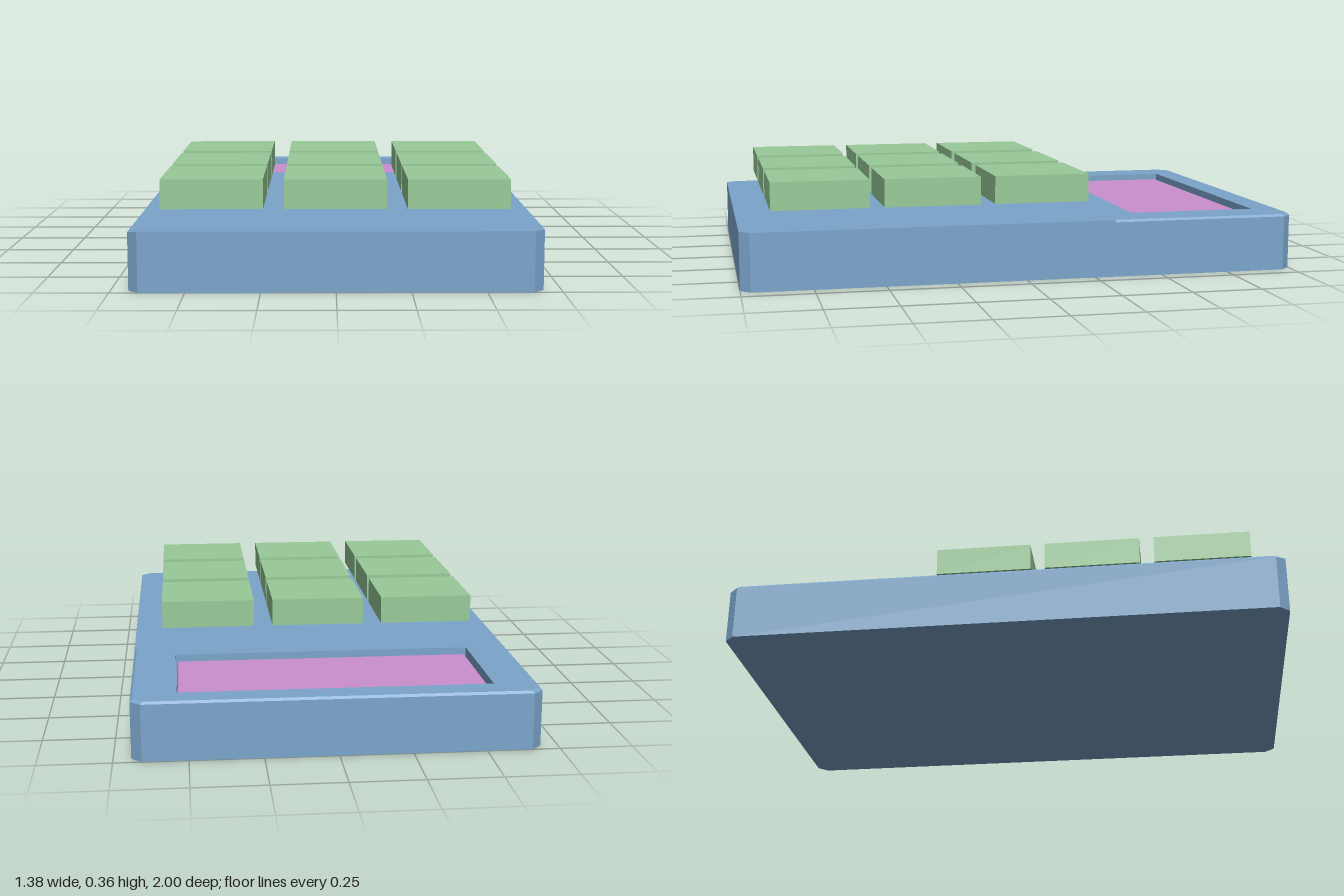
import * as THREE from 'three';
import { mergeGeometries } from 'three/addons/utils/BufferGeometryUtils.js';
import { RoundedBoxGeometry } from 'three/addons/geometries/RoundedBoxGeometry.js';

const HEIGHT = 0.205, BEVEL = 0.008;
const RECESS_FLOOR = 0.14;

const material = (color) => new THREE.MeshStandardMaterial({ color });

function addMesh(parent, geometry, mat, name) {
  const mesh = new THREE.Mesh(geometry, mat);
  mesh.name = name;
  parent.add(mesh);
  return mesh;
}

// Flat wall between two closed rings of [x, y, z]; counter-clockwise seen from above faces outwards
function band(lower, upper) {
  const position = [];
  lower.forEach((a, i) => {
    const j = (i + 1) % lower.length;
    position.push(...a, ...lower[j], ...upper[j], ...a, ...upper[j], ...upper[i]);
  });
  const geometry = new THREE.BufferGeometry();
  geometry.setAttribute('position', new THREE.Float32BufferAttribute(position, 3));
  geometry.computeVertexNormals();
  return geometry;
}

// Horizontal face filling a ring, with an optional hole
function cap(ring, y, up, hole) {
  const flat = (r) => r.map(([x, , z]) => new THREE.Vector2(x, -z));
  const shape = new THREE.Shape(flat(ring));
  if (hole) shape.holes.push(new THREE.Path(flat(hole)));
  let geometry = new THREE.ShapeGeometry(shape).rotateX(-Math.PI / 2);
  if (!up) geometry.rotateX(Math.PI).scale(1, 1, 1);
  geometry = geometry.translate(0, y, 0).toNonIndexed();
  geometry.deleteAttribute('uv');
  return geometry;
}

// Case with cut corners, a fine top bevel and a recess for the screen
function caseGeometry() {
  const outline = [ // x, z, bevel
    [0.655, 1, 0], [0.69, 0.965, 0], [0.69, -0.315, 0], [0.69, -0.325, BEVEL],
    [0.69, -0.965, BEVEL], [0.655, -1, BEVEL], [-0.655, -1, BEVEL],
    [-0.69, -0.965, BEVEL], [-0.69, 0.965, BEVEL], [-0.655, 1, 0],
  ];
  const bottom = outline.map(([x, z]) => [x, 0, z]);
  const shoulder = outline.map(([x, z, b]) => [x, HEIGHT - b, z]);
  const top = outline.map(([x, z, b]) => [
    x - Math.sign(x) * b, HEIGHT, Math.abs(z) > 0.9 ? z - Math.sign(z) * b : z,
  ]);
  // Clockwise, so the recess walls face inwards
  const recess = (y) => [[-0.538, y, -0.43], [-0.538, y, -0.9], [0.538, y, -0.9], [0.538, y, -0.43]];
  return mergeGeometries([
    band(bottom, shoulder),
    band(shoulder, top),
    cap(top, HEIGHT, true, recess(0)),
    cap(bottom, 0, false),
    band(recess(RECESS_FLOOR), recess(HEIGHT)),
    cap(recess(0), RECESS_FLOOR, true),
  ]);
}

export function createModel() {
  const model = new THREE.Group();
  model.name = 'keypad';

  addMesh(model, caseGeometry(), material(0x7ba5cb), 'case');

  // Screen sunk below the top face
  const screen = addMesh(model, new RoundedBoxGeometry(1.068, 0.045, 0.462, 2, 0.01),
    material(0xcb8fcf), 'screen');
  screen.position.set(0, 0.16, -0.665);

  // Three by three keys, held clear of the case
  const keys = new THREE.Group();
  keys.name = 'keys';
  model.add(keys);
  const keyGeometry = new THREE.BoxGeometry(0.345, 0.1, 0.345);
  const keyMaterial = material(0x98ca98);
  for (let row = 0; row < 3; row++) {
    for (let column = 0; column < 3; column++) {
      const key = addMesh(keys, keyGeometry, keyMaterial, `key${row + 1}${column + 1}`);
      key.position.set(-0.002 + (column - 1) * 0.415, 0.311, -0.078 + row * 0.397);
    }
  }
  return model;
}
